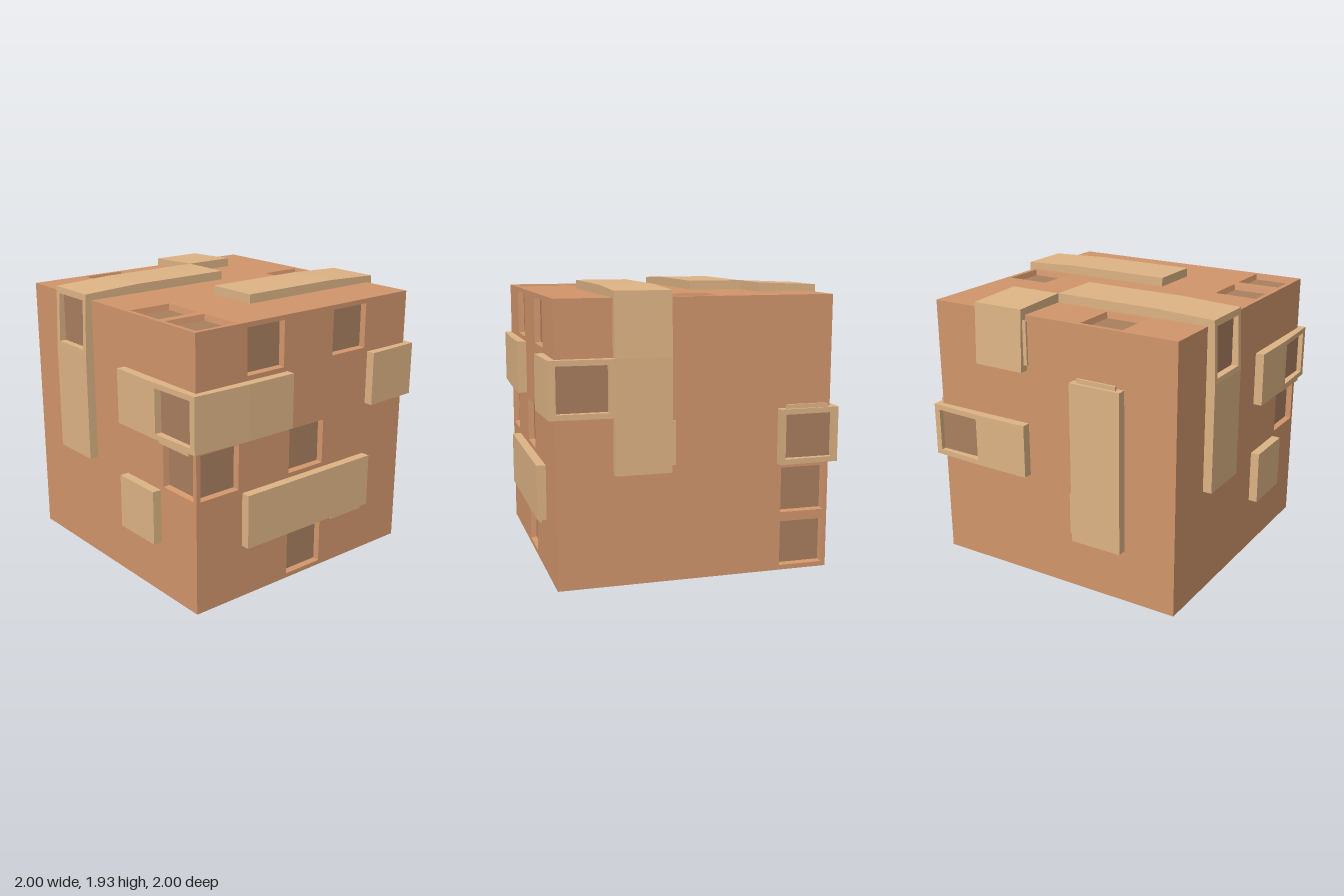
import * as THREE from 'three';

const HALF = 0.935;          // half of the cube edge
const CELL = HALF * 2 / 5;   // each face is a 5 x 5 grid
const THICK = 0.0625;        // plank thickness
const CORNER = 0.98;         // where a wrapped plank turns the edge
const HOLE = 0.31, FLOOR = 0.294, DEPTH = 0.04;

const paint = (color, side = THREE.FrontSide) =>
  new THREE.MeshStandardMaterial({ color, side, flatShading: true });
const wood = paint(0xd2966c), well = paint(0xd2966c, THREE.DoubleSide);
const plankWood = paint(0xdeb485), dark = paint(0xaa8060);

const at = i => -HALF + CELL * i;
const mid = i => at(i + 0.5);

function add(parent, name, geometry, material) {
  const mesh = new THREE.Mesh(geometry, material);
  mesh.name = name;
  parent.add(mesh);
  return mesh;
}

function rect(Kind, u0, u1, v0, v1) {
  const s = new Kind();
  s.moveTo(u0, v0).lineTo(u1, v0).lineTo(u1, v1).lineTo(u0, v1).closePath();
  return s;
}

// Cube side with square sunken panels
function addSide(face, recesses) {
  const shape = rect(THREE.Shape, -HALF, HALF, -HALF, HALF);
  for (const [i, j] of recesses) {
    const u = mid(i), v = mid(j), h = HOLE / 2;
    shape.holes.push(rect(THREE.Path, u - h, u + h, v - h, v + h));
    const walls = new THREE.CylinderGeometry(h * Math.SQRT2, FLOOR / Math.SQRT2, DEPTH, 4, 1, true)
      .rotateY(Math.PI / 4).rotateX(Math.PI / 2).translate(u, v, HALF - DEPTH / 2);
    add(face, 'recessWalls', walls, well);
    add(face, 'recessFloor', new THREE.PlaneGeometry(FLOOR, FLOOR).translate(u, v, HALF - DEPTH), dark);
  }
  add(face, 'cubeSide', new THREE.ShapeGeometry(shape).translate(0, 0, HALF), wood);
}

// Plank piece over cells i0..i1, j0..j1; wrap [du, dv] carries it over that cube edge
function addPlank(face, [i0, i1, j0, j1, wrap, hollow]) {
  let u0 = at(i0), u1 = at(i1 + 1), v0 = at(j0), v1 = at(j1 + 1);
  const [du, dv] = wrap || [0, 0];
  if (du < 0) u0 = -CORNER;
  if (du > 0) u1 = CORNER;
  if (dv < 0) v0 = -CORNER;
  if (dv > 0) v1 = CORNER;
  const shape = rect(THREE.Shape, u0, u1, v0, v1);
  if (hollow) {
    const m = 0.036;
    const a = Math.max(u0 + m, -HALF), b = Math.min(u1 - m, HALF);
    const c = Math.max(v0 + m, -HALF), d = Math.min(v1 - m, HALF);
    shape.holes.push(rect(THREE.Path, a, b, c, d));
    add(face, 'plankRecessFloor', new THREE.PlaneGeometry(b - a, d - c)
      .translate((a + b) / 2, (c + d) / 2, HALF + 0.012), dark);
  }
  const geo = new THREE.ExtrudeGeometry(shape, { depth: THICK, bevelEnabled: false });
  // Thin the plank slightly toward the edge it wraps over
  const p = geo.attributes.position, start = at(4);
  for (let k = 0; k < p.count; k++) {
    const along = p.getX(k) * du + p.getY(k) * dv;
    const t = Math.max(0, (along - start) / (CORNER - start));
    if (p.getZ(k) > 0.01) p.setZ(k, THICK - t * (HALF + THICK - CORNER));
  }
  geo.translate(0, 0, HALF);
  geo.computeVertexNormals();
  add(face, 'plank', geo, plankWood);
}

const L = [-1, 0], R = [1, 0], U = [0, 1], D = [0, -1];
const Q = Math.PI / 2;

const SIDES = [
  { name: 'frontSide', rot: [0, 0, 0], recesses: [[4, 2]], planks: [
    [1, 1, 2, 3], [1, 1, 4, 4, U, true],
    [3, 3, 3, 3], [4, 4, 3, 3, R, true],
    [3, 3, 1, 1]] },
  { name: 'leftSide', rot: [0, Q, 0], recesses: [[1, 4], [3, 4], [0, 2], [2, 2], [2, 0]], planks: [
    [0, 0, 3, 3, L], [1, 1, 3, 3],
    [4, 4, 3, 3, R],
    [1, 3, 1, 1]] },
  { name: 'backSide', rot: [0, Math.PI, 0], recesses: [[4, 1], [4, 0]], planks: [
    [1, 1, 2, 3], [1, 1, 4, 4, U],
    [0, 0, 3, 3, L, true],
    [4, 4, 2, 2, R, true]] },
  { name: 'rightSide', rot: [0, -Q, 0], recesses: [], planks: [
    [0, 0, 2, 2, L, true], [1, 1, 2, 2],
    [3, 3, 1, 3],
    [1, 1, 4, 4, U]] },
  { name: 'topSide', rot: [-Q, 0, 0], recesses: [[2, 4], [0, 1], [3, 0], [4, 0]], planks: [
    [1, 1, 0, 0, D], [1, 1, 1, 2],
    [3, 3, 2, 3], [3, 3, 4, 4, U],
    [0, 0, 3, 3, L]] },
  { name: 'bottomSide', rot: [Q, 0, 0], recesses: [[4, 4], [3, 1], [2, 0]], planks: [] },
];

// Thin ridges on plank edges: size, then centre
const RIDGES = [
  [0.015, 0.03, 0.29, 0.967, 0.36, -0.375],
  [0.3, 0.03, 0.015, 0.755, 1.11, 0.967],
  [0.015, 0.03, 0.29, -0.967, 1.51, 0.375],
  [0.015, 0.29, 0.03, -0.967, 0.56, 0.175],
  [0.015, 0.3, 0.03, -0.96, 1.69, -0.175],
  [0.3, 0.03, 0.015, -0.755, 1.135, -0.967],
  [0.03, 0.29, 0.015, 0.175, 0.94, -0.97],
];

export function createModel() {
  const model = new THREE.Group();
  model.name = 'plankedCube';

  for (const { name, rot, recesses, planks } of SIDES) {
    const face = new THREE.Group();
    face.name = name;
    face.position.y = HALF;
    face.rotation.set(...rot);
    addSide(face, recesses);
    planks.forEach(p => addPlank(face, p));
    model.add(face);
  }

  for (const [w, h, d, x, y, z] of RIDGES)
    add(model, 'plankRidge', new THREE.BoxGeometry(w, h, d), plankWood).position.set(x, y, z);

  return model;
}
